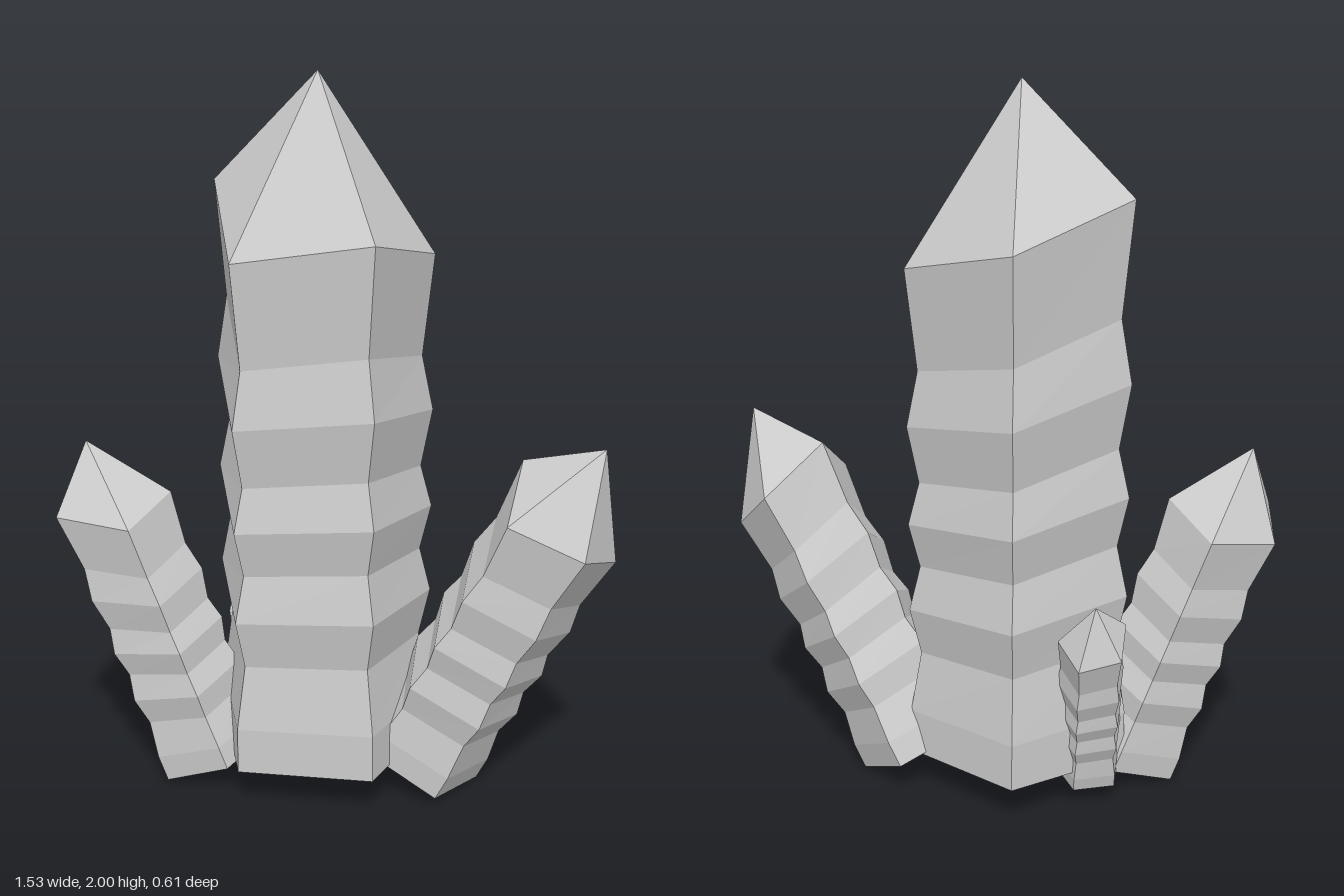
import * as THREE from 'three';

// Rings up the shaft: [fraction of the corner's height, radius factor]
const RINGS = [[0, 1], [0.09, 1], [0.215, 0.9], [0.31, 1], [0.4, 0.9], [0.49, 1],
  [0.575, 0.9], [0.69, 1], [0.8, 0.9], [1, 1]];
// Shoulder height at each corner: back, right, front right, front left, left
const SHOULDERS = [1.48, 1.405, 1.48, 1.425, 1.595];
const RADIUS = 0.32;
const TIP = 1.895;

// Five-sided crystal with a ribbed shaft, uneven shoulder and pointed tip
function crystalGeometry() {
  const n = SHOULDERS.length;
  const points = [];
  const index = [];
  for (const [t, k] of RINGS) {
    SHOULDERS.forEach((h, i) => {
      const a = (i / n) * Math.PI * 2;
      points.push(Math.sin(a) * RADIUS * k, h * t, -Math.cos(a) * RADIUS * k);
    });
  }
  const tip = RINGS.length * n;
  const foot = tip + 1;
  points.push(0, TIP, 0, 0, 0, 0);
  const top = (RINGS.length - 1) * n;
  for (let i = 0; i < n; i++) {
    const j = (i + 1) % n;
    for (let r = 0; r < top; r += n) {
      index.push(r + j, r + i, r + n + i, r + j, r + n + i, r + n + j);
    }
    index.push(top + j, top + i, tip, foot, i, j);
  }
  const indexed = new THREE.BufferGeometry();
  indexed.setAttribute('position', new THREE.Float32BufferAttribute(points, 3));
  indexed.setIndex(index);
  const geometry = indexed.toNonIndexed();
  geometry.computeVertexNormals();
  return geometry;
}

// Foot position, growth direction, facing direction and scale of each crystal
const CRYSTALS = [
  { name: 'mainCrystal', foot: [-0.06, 0.105, 0.017], up: [0, 1, 0], face: [0, 0, 1], scale: 1 },
  { name: 'leftCrystal', foot: [0.23, 0.08, 0.03], up: [0.449, 0.885, 0.126], face: [-0.205, -0.034, 0.969], scale: 0.58 },
  { name: 'rightCrystal', foot: [-0.363, 0.056, 0.062], up: [-0.346, 0.938, 0.02], face: [0.829, 0.297, 0.472], scale: 0.525 },
  { name: 'smallBackCrystal', foot: [-0.264, 0.073, -0.092], up: [-0.03, 0.957, -0.29], face: [0.76, 0.19, 0.62], scale: 0.31 },
];

export function createModel() {
  const group = new THREE.Group();
  group.name = 'crystalCluster';
  const geometry = crystalGeometry();
  const material = new THREE.MeshStandardMaterial({ color: 0xcccccc, flatShading: true });
  for (const { name, foot, up, face, scale } of CRYSTALS) {
    const y = new THREE.Vector3(...up).normalize();
    const x = y.clone().cross(new THREE.Vector3(...face)).normalize();
    const z = x.clone().cross(y);
    const mesh = new THREE.Mesh(geometry, material);
    mesh.name = name;
    mesh.quaternion.setFromRotationMatrix(new THREE.Matrix4().makeBasis(x, y, z));
    mesh.position.set(...foot);
    mesh.scale.setScalar(scale);
    group.add(mesh);
  }
  return group;
}
